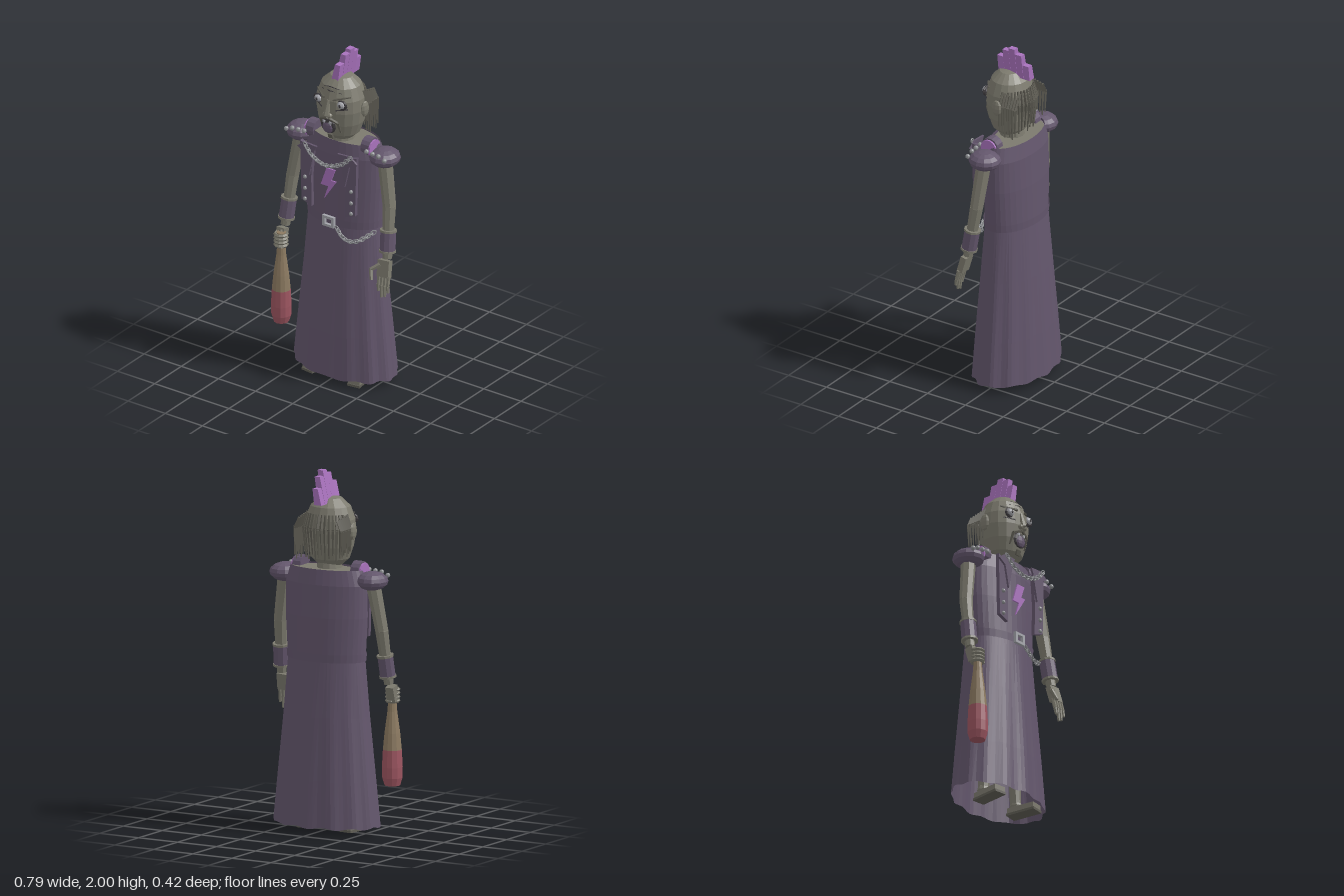
import * as THREE from 'three';

const mat = (name, color, side = THREE.FrontSide) => {
  const m = new THREE.MeshStandardMaterial({ color, flatShading: true, side });
  m.name = name;
  return m;
};
const V = (x, y, z) => new THREE.Vector3(x, y, z);

// Skull profile: [radius, height]
const SKULL = [[0, 1.47], [0.07, 1.475], [0.108, 1.51], [0.132, 1.58], [0.144, 1.66], [0.14, 1.73], [0.114, 1.8], [0.065, 1.845], [0, 1.858]];
const HEAD_Z = 0.04, HEAD_DEPTH = 0.9;

// Depth of the face surface at a point seen from the front
function faceZ(x, y) {
  let i = 1;
  while (i < SKULL.length - 1 && SKULL[i][1] < y) i++;
  const [r0, y0] = SKULL[i - 1], [r1, y1] = SKULL[i];
  const r = r0 + (r1 - r0) * (y - y0) / (y1 - y0);
  return HEAD_Z + HEAD_DEPTH * Math.sqrt(Math.max(r * r - x * x, 0));
}

// Open surface through elliptical rings {y, rx, front, back, fold}
function loft(rings, seg) {
  const pos = [], idx = [];
  rings.forEach(({ y, rx, front, back, fold = 0 }) => {
    for (let i = 0; i < seg; i++) {
      const a = i / seg * Math.PI * 2;
      const k = 1 + fold * (Math.cos(a * 14) + 0.5 * Math.sin(a * 9));
      const s = Math.sin(a), c = Math.cos(a);
      pos.push(rx * s * k, y + fold * 0.3 * Math.cos(a * 11), (c > 0 ? front : back) * c * k);
    }
  });
  for (let j = 0; j < rings.length - 1; j++) for (let i = 0; i < seg; i++) {
    const a = j * seg + i, b = j * seg + (i + 1) % seg, c = a + seg, d = b + seg;
    idx.push(a, b, d, a, d, c);
  }
  const g = new THREE.BufferGeometry();
  g.setAttribute('position', new THREE.Float32BufferAttribute(pos, 3));
  g.setIndex(idx);
  g.computeVertexNormals();
  return g;
}

export function createModel() {
  const root = new THREE.Group();
  root.name = 'punkFigure';
  const cloth = mat('cloth', 0x63566c, THREE.DoubleSide);
  const skin = mat('skin', 0x7c7a6e);
  const hair = mat('hair', 0x5f5d54);
  const violet = mat('violet', 0xa872bc);
  const metal = mat('metal', 0x8b8d90);
  const wood = mat('wood', 0x8c7a61);
  const red = mat('redPaint', 0x9c5560);
  const dark = mat('dark', 0x3d3a3d);
  const eye = mat('eye', 0xa5a6ac);

  const add = (name, geo, material, p = [0, 0, 0], rot = [0, 0, 0], s = [1, 1, 1], parent = root) => {
    const m = new THREE.Mesh(geo, material);
    m.name = name;
    m.position.set(...p);
    m.rotation.set(...rot);
    m.scale.set(...s);
    parent.add(m);
    return m;
  };
  const box = (name, w, h, d, material, p, rot) => add(name, new THREE.BoxGeometry(w, h, d), material, p, rot);
  const ball = (name, r, material, p, s, w = 8, h = 6) => add(name, new THREE.SphereGeometry(r, w, h), material, p, undefined, s);
  // Tapered rod from a to b
  const rod = (name, a, b, ra, rb, material, sides = 8) => {
    const d = b.clone().sub(a);
    const m = add(name, new THREE.CylinderGeometry(rb, ra, d.length(), sides), material, a.clone().lerp(b, 0.5).toArray());
    m.quaternion.setFromUnitVectors(V(0, 1, 0), d.normalize());
    return m;
  };
  const plate = (name, pts, depth, material, z) => {
    const shape = new THREE.Shape(pts.map(p => new THREE.Vector2(...p)));
    return add(name, new THREE.ExtrudeGeometry(shape, { depth, bevelEnabled: false }), material, [0, 0, z]);
  };
  // Interlocked links along a curve
  const chain = (name, pts, count) => {
    const curve = new THREE.CatmullRomCurve3(pts.map(p => V(...p)));
    const geo = new THREE.TorusGeometry(0.012, 0.0035, 5, 9);
    geo.scale(1.35, 1, 1);
    for (let i = 0; i < count; i++) {
      const u = i / (count - 1), m = add(name, geo, metal, curve.getPointAt(u).toArray());
      m.quaternion.setFromUnitVectors(V(1, 0, 0), curve.getTangentAt(u));
      m.rotateX(i % 2 ? Math.PI / 2 : 0);
    }
  };

  // Gown: skirt, belt and bodice
  add('skirt', loft([
    { y: 0.04, rx: 0.318, front: 0.195, back: 0.203, fold: 0.018 },
    { y: 0.3, rx: 0.293, front: 0.182, back: 0.187, fold: 0.014 },
    { y: 0.65, rx: 0.258, front: 0.16, back: 0.162, fold: 0.009 },
    { y: 0.97, rx: 0.232, front: 0.138, back: 0.136, fold: 0 }], 72), cloth);
  add('belt', loft([
    { y: 0.955, rx: 0.238, front: 0.144, back: 0.142 },
    { y: 1.0, rx: 0.242, front: 0.146, back: 0.144 }], 36), cloth);
  add('bodice', loft([
    { y: 0.98, rx: 0.236, front: 0.138, back: 0.137 },
    { y: 1.2, rx: 0.25, front: 0.133, back: 0.133 },
    { y: 1.38, rx: 0.25, front: 0.125, back: 0.122 },
    { y: 1.465, rx: 0.222, front: 0.112, back: 0.105 }], 36), cloth);
  add('upperChest', new THREE.CylinderGeometry(0.215, 0.23, 0.03, 28), skin, [0, 1.442, 0], undefined, [1, 1, 0.47]);
  const frame = new THREE.Shape([[-0.038, -0.032], [0.038, -0.032], [0.038, 0.032], [-0.038, 0.032]].map(p => new THREE.Vector2(...p)));
  frame.holes.push(new THREE.Path([[-0.022, -0.017], [-0.022, 0.017], [0.022, 0.017], [0.022, -0.017]].map(p => new THREE.Vector2(...p))));
  add('buckle', new THREE.ExtrudeGeometry(frame, { depth: 0.018, bevelEnabled: false }), eye, [-0.005, 0.98, 0.146]);
  chain('beltChain', [[0.05, 0.95, 0.153], [0.085, 0.915, 0.158], [0.13, 0.895, 0.152], [0.18, 0.905, 0.135], [0.235, 0.945, 0.07]], 15);
  chain('necklace', [[-0.14, 1.425, 0.185], [-0.09, 1.375, 0.19], [0, 1.345, 0.195], [0.1, 1.375, 0.19], [0.16, 1.43, 0.185]], 21);
  plate('lightningBolt', [[-0.02, 1.305], [0.038, 1.305], [0.012, 1.235], [0.045, 1.235], [-0.035, 1.115], [-0.008, 1.195], [-0.058, 1.195]], 0.008, violet, 0.148);

  for (const s of [-1, 1]) {
    const mx = pts => pts.map(([x, y]) => [x * s, y]);
    // Open jacket fronts with lapels and studs
    plate('jacketFront', mx([[0.19, 1.43], [0.1, 1.4], [0.115, 1.23], [0.112, 1.045], [0.18, 1.07], [0.185, 1.25]]), 0.022, cloth, 0.144);
    plate('lapel', mx([[0.2, 1.4], [0.15, 1.435], [0.07, 1.43], [0.085, 1.4], [0.12, 1.24], [0.15, 1.37]]), 0.012, cloth, 0.168);
    for (const y of [1.215, 1.145, 1.08]) ball('jacketStud', 0.012, metal, [0.155 * s, y, 0.168]);

    // Shoulder pad, studs and rolled strap
    ball('shoulderPad', 1, cloth, [0.278 * s, 1.408, 0.022], [0.088, 0.053, 0.092], 12, 8);
    for (let i = 0; i < 4; i++) ball('shoulderStud', 0.014, metal, [(0.21 + i * 0.04) * s, 1.452 - i * 0.003 - (i === 3 ? 0.012 : 0), 0.1]);
    const roll = [0, 0, Math.PI / 2];
    add('strap', new THREE.CylinderGeometry(0.053, 0.053, 0.052, 14), cloth, [0.186 * s, 1.456, 0.035], roll);
    add('strapTrim', new THREE.CylinderGeometry(0.05, 0.05, 0.012, 14), violet, [0.216 * s, 1.45, 0.038], roll);

    // Arm and studded cuff
    const shoulder = V(0.28 * s, 1.4, 0.025), elbow = V(0.325 * s, 1.13, 0.045), wrist = V(0.343 * s, 0.83, 0.09);
    rod('upperArm', shoulder, elbow, 0.042, 0.037, skin);
    ball('elbow', 0.037, skin, elbow.toArray());
    rod('forearm', elbow, wrist, 0.037, 0.027, skin);
    const along = t => elbow.clone().lerp(wrist, t);
    rod('cuff', along(0.47), along(0.87), 0.044, 0.044, cloth, 10);
    for (const t of [0.47, 0.86]) rod('cuffRing', along(t - 0.02), along(t + 0.02), 0.048, 0.048, skin, 10);

    // Legs and boots
    rod('leg', V(0.135 * s, 0.04, 0.01), V(0.12 * s, 0.7, 0), 0.03, 0.045, skin);
    box('boot', 0.072, 0.035, 0.17, skin, [0.145 * s, 0.028, 0.06], [0, 0.12 * s, 0]);
    box('sole', 0.078, 0.014, 0.18, hair, [0.145 * s, 0.007, 0.06], [0, 0.12 * s, 0]);
    ball('ankle', 0.035, skin, [0.137 * s, 0.06, 0.01]);

    // Ears, eyes, brows and cheek folds
    ball('ear', 1, skin, [0.15 * s, 1.67, 0.03], [0.016, 0.048, 0.032], 8, 6);
    ball('eyeSocket', 1, dark, [0.077 * s, 1.718, faceZ(0.077, 1.718)], [0.037, 0.029, 0.012], 10, 6);
    ball('eyeball', 0.025, eye, [0.077 * s, 1.72, faceZ(0.077, 1.72) + 0.004], [1, 0.85, 0.8], 10, 8);
    ball('pupil', 0.009, dark, [0.077 * s, 1.72, faceZ(0.077, 1.72) + 0.021], [1, 1, 0.5]);
    rod('brow', V(0.03 * s, 1.745, faceZ(0.03, 1.745) + 0.008), V(0.112 * s, 1.76, faceZ(0.112, 1.76) + 0.012), 0.008, 0.004, hair, 5);
    rod('eyeBag', V(0.045 * s, 1.683, faceZ(0.045, 1.683)), V(0.105 * s, 1.69, faceZ(0.105, 1.69)), 0.005, 0.004, dark, 5);
    rod('moustacheTop', V(0.004 * s, 1.628, faceZ(0, 1.628) + 0.005), V(0.056 * s, 1.605, faceZ(0.056, 1.605) + 0.005), 0.008, 0.009, hair, 5);
    rod('moustacheEnd', V(0.056 * s, 1.605, faceZ(0.056, 1.605) + 0.005), V(0.062 * s, 1.54, faceZ(0.062, 1.54) + 0.004), 0.009, 0.004, hair, 5);
    ball('nostril', 0.015, skin, [0.016 * s, 1.647, 0.175]);

    // Side locks
    for (let i = 0; i < 7; i++) {
      const z = 0.012 - i * 0.017, low = 1.53 - (i % 3) * 0.012 + (s < 0 ? 0.03 : 0);
      rod('sideLock', V(0.122 * s, 1.765 - i * 0.004, z), V(0.15 * s, 1.68, z), 0.007, 0.009, hair, 4);
      rod('sideLock', V(0.15 * s, 1.69, z), V((s > 0 ? 0.15 : 0.142) * s, low, z), 0.009, 0.004, hair, 4);
    }
  }

  // Head and neck
  add('neck', new THREE.CylinderGeometry(0.062, 0.075, 0.09, 12), skin, [0, 1.47, 0.03]);
  add('head', new THREE.LatheGeometry(SKULL.map(([r, y]) => new THREE.Vector2(r, y)), 18), skin, [0, 0, HEAD_Z], undefined, [1, 1, HEAD_DEPTH]);
  rod('nose', V(0, 1.735, 0.162), V(0, 1.648, 0.184), 0.009, 0.018, skin, 6);
  for (const [y, w] of [[1.805, 0.05], [1.785, 0.065]]) for (const s of [-1, 1])
    rod('foreheadLine', V(0, y, faceZ(0, y)), V(w * s, y - 0.006, faceZ(w, y - 0.006)), 0.0035, 0.002, dark, 5);
  ball('mouth', 1, dark, [-0.005, 1.573, 0.157], [0.05, 0.046, 0.014], 10, 6);
  ball('tongue', 1, cloth, [-0.005, 1.565, 0.163], [0.038, 0.034, 0.014], 8, 6);
  for (const x of [-0.026, 0.016]) box('tooth', 0.014, 0.014, 0.008, eye, [x, 1.599, 0.17]);
  box('goatee', 0.03, 0.03, 0.012, hair, [0, 1.505, 0.142], [0.3, 0, 0]);

  // Back locks
  for (let i = 0; i < 15; i++) {
    const a = (i / 14 - 0.5) * 2.1, x = Math.sin(a), z = -Math.cos(a);
    const p = (r, y) => V(x * r, y, HEAD_Z + z * r * 0.93);
    rod('backLock', p(0.13, 1.765), p(0.151, 1.68), 0.007, 0.01, hair, 4);
    rod('backLock', p(0.151, 1.69), p(0.136, 1.54 - (i % 3) * 0.015), 0.01, 0.004, hair, 4);
  }

  // Mohawk: five leaning blocks
  [1.93, 1.98, 2.0, 1.97, 1.91].forEach((top, i) => {
    const h = top - 1.82, g = new THREE.BoxGeometry(0.045, h, 0.04), p = g.attributes.position;
    for (let k = 0; k < p.count; k++) {
      const t = p.getY(k) / h + 0.5;
      p.setX(k, p.getX(k) * (1 - 0.25 * t) + t * h * 0.19);
    }
    add('mohawk', g, violet, [-0.002, 1.82 + h / 2, 0.085 - i * 0.041]);
  });

  // Right fist round the bat
  box('fistPalm', 0.05, 0.085, 0.05, skin, [-0.35, 0.775, 0.115], [-0.3, 0, 0]);
  for (let i = 0; i < 4; i++)
    add('fistFinger', new THREE.TorusGeometry(0.032, 0.011, 5, 10), skin, [-0.338, 0.792 - i * 0.021, 0.138], [Math.PI / 2, 0, 0]);
  rod('fistThumb', V(-0.345, 0.81, 0.125), V(-0.315, 0.72, 0.165), 0.012, 0.009, skin, 6);
  const BAT = [-0.336, 0, 0.138], lathe = pts => new THREE.LatheGeometry(pts.map(p => new THREE.Vector2(...p)), 12);
  add('batHandle', lathe([[0.052, 0.455], [0.043, 0.55], [0.027, 0.67], [0.02, 0.77], [0.026, 0.79], [0.026, 0.805], [0, 0.805]]), wood, BAT);
  add('batTip', lathe([[0, 0.255], [0.043, 0.257], [0.056, 0.3], [0.057, 0.36], [0.052, 0.456]]), red, BAT);

  // Left open hand
  box('palm', 0.075, 0.095, 0.035, skin, [0.34, 0.775, 0.112], [-0.25, 0, 0.08]);
  for (let i = 0; i < 4; i++) {
    const x = 0.314 + i * 0.021, low = [0.645, 0.612, 0.62, 0.65][i];
    const knuckle = V(x + 0.004, 0.685, 0.138);
    rod('finger', V(x, 0.74, 0.125), knuckle, 0.012, 0.011, skin, 6);
    rod('fingertip', knuckle, V(x + 0.008, low, 0.143), 0.011, 0.008, skin, 6);
  }
  rod('thumb', V(0.315, 0.795, 0.12), V(0.275, 0.765, 0.15), 0.014, 0.013, skin, 6);
  rod('thumbTip', V(0.275, 0.77, 0.148), V(0.295, 0.715, 0.172), 0.013, 0.009, skin, 6);

  return root;
}
